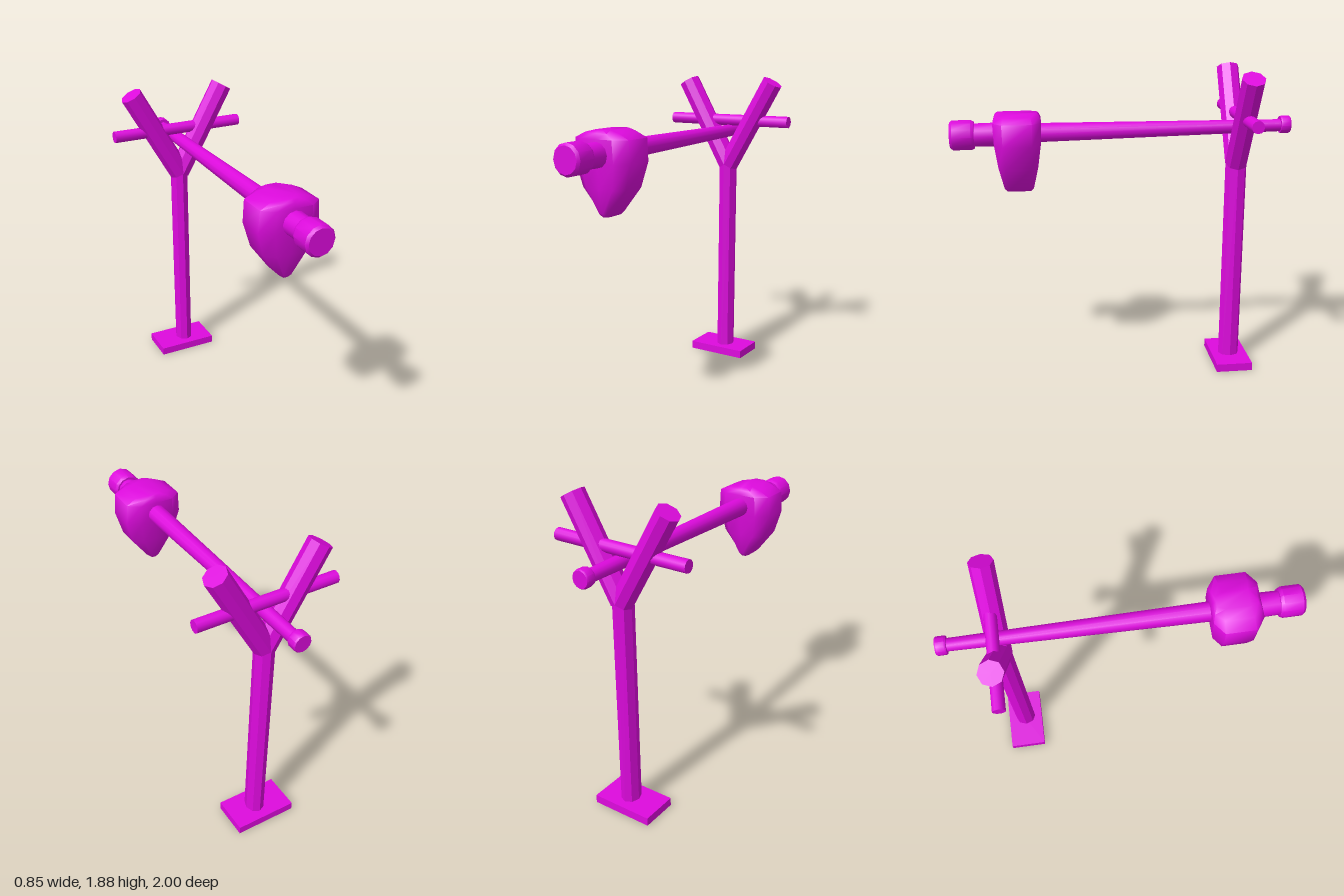
import * as THREE from 'three';
import { toCreasedNormals } from 'three/addons/utils/BufferGeometryUtils.js';

const material = new THREE.MeshStandardMaterial({ color: 0xdd0add });
const POST_Z = -0.685;

function add(group, name, geometry, crease = 0.6) {
  const mesh = new THREE.Mesh(toCreasedNormals(geometry, crease), material);
  mesh.name = name;
  group.add(mesh);
  return mesh;
}

// Round part lying along z, from [z, radius] pairs listed front to back
function lathedAlongZ(profile, sides) {
  const points = profile.map(([z, r]) => new THREE.Vector2(r, z)).reverse();
  return new THREE.LatheGeometry(points, sides).rotateX(Math.PI / 2);
}

// Loft of chamfered rectangles stacked in y, from [y, halfWidth, halfDepth] rows
function loft(rows) {
  const ring = [[1, 0.62], [0.6, 1], [0, 1], [-0.6, 1], [-1, 0.62], [-1, -0.62], [-0.6, -1], [0, -1], [0.6, -1], [1, -0.62]];
  const n = ring.length, pos = [], index = [];
  for (const [y, w, d] of rows) for (const [x, z] of ring) pos.push(x * w, y, z * d);
  for (let r = 0; r < rows.length - 1; r++) {
    for (let i = 0; i < n; i++) {
      const a = r * n + i, b = r * n + (i + 1) % n;
      index.push(a, a + n, b, b, a + n, b + n);
    }
  }
  // Bottom and top caps
  const top = (rows.length - 1) * n;
  for (let i = 1; i < n - 1; i++) {
    index.push(0, i, i + 1, top, top + i + 1, top + i);
  }
  const g = new THREE.BufferGeometry();
  g.setAttribute('position', new THREE.Float32BufferAttribute(pos, 3));
  g.setIndex(index);
  return g;
}

export function createModel() {
  const model = new THREE.Group();
  model.name = 'leverHammer';

  // Foot plate and upright
  add(model, 'basePlate', new THREE.BoxGeometry(0.38, 0.05, 0.225)).position.set(-0.018, 0.025, -0.687);
  add(model, 'post', new THREE.CylinderGeometry(0.065, 0.065, 1.27, 8).scale(0.85, 1, 1)).position.set(-0.003, 0.685, POST_Z);

  // Forked top
  for (const side of [-1, 1]) {
    const foot = new THREE.Vector3(0, 1.31, POST_Z);
    const tip = new THREE.Vector3(side * 0.306, 1.848, POST_Z);
    const dir = tip.clone().sub(foot);
    const branch = add(model, side > 0 ? 'leftFork' : 'rightFork', new THREE.CylinderGeometry(0.068, 0.068, dir.length(), 8));
    branch.position.copy(foot).add(tip).multiplyScalar(0.5);
    branch.quaternion.setFromUnitVectors(new THREE.Vector3(0, 1, 0), dir.normalize());
  }

  // Axle through the fork
  add(model, 'axle', new THREE.CylinderGeometry(0.036, 0.036, 0.85, 12).rotateZ(Math.PI / 2)).position.set(-0.002, 1.6, -0.69);

  // Tapered beam with its end knob, tilted slightly upward to the back
  const beam = add(model, 'beam', lathedAlongZ([[0.7, 0], [0.7, 0.059], [-0.96, 0.036], [-0.96, 0]], 12));
  beam.position.set(0.003, 1.524, 0);
  beam.rotation.x = 0.009;
  add(model, 'rearKnob', lathedAlongZ([[-0.94, 0], [-0.94, 0.05], [-0.948, 0.053], [-0.992, 0.053], [-1, 0.048], [-1, 0]], 12)).position.set(0, 1.537, 0);

  // Front neck and cap
  add(model, 'frontNeck', lathedAlongZ([[0.9, 0], [0.9, 0.066], [0.72, 0.07], [0.72, 0]], 12)).position.set(0.005, 1.514, 0);
  add(model, 'frontCap', lathedAlongZ([[1, 0], [1, 0.074], [0.985, 0.087], [0.88, 0.087], [0.862, 0.078], [0.862, 0]], 12)).position.set(0.005, 1.514, 0);

  // Wedge-shaped weight
  add(model, 'weight', loft([
    [1.176, 0.02, 0.07], [1.195, 0.04, 0.085], [1.33, 0.14, 0.113], [1.47, 0.18, 0.132],
    [1.595, 0.172, 0.137], [1.625, 0.11, 0.127], [1.64, 0.05, 0.112],
  ]), 1.1).position.set(0.003, 0, 0.617);

  return model;
}
